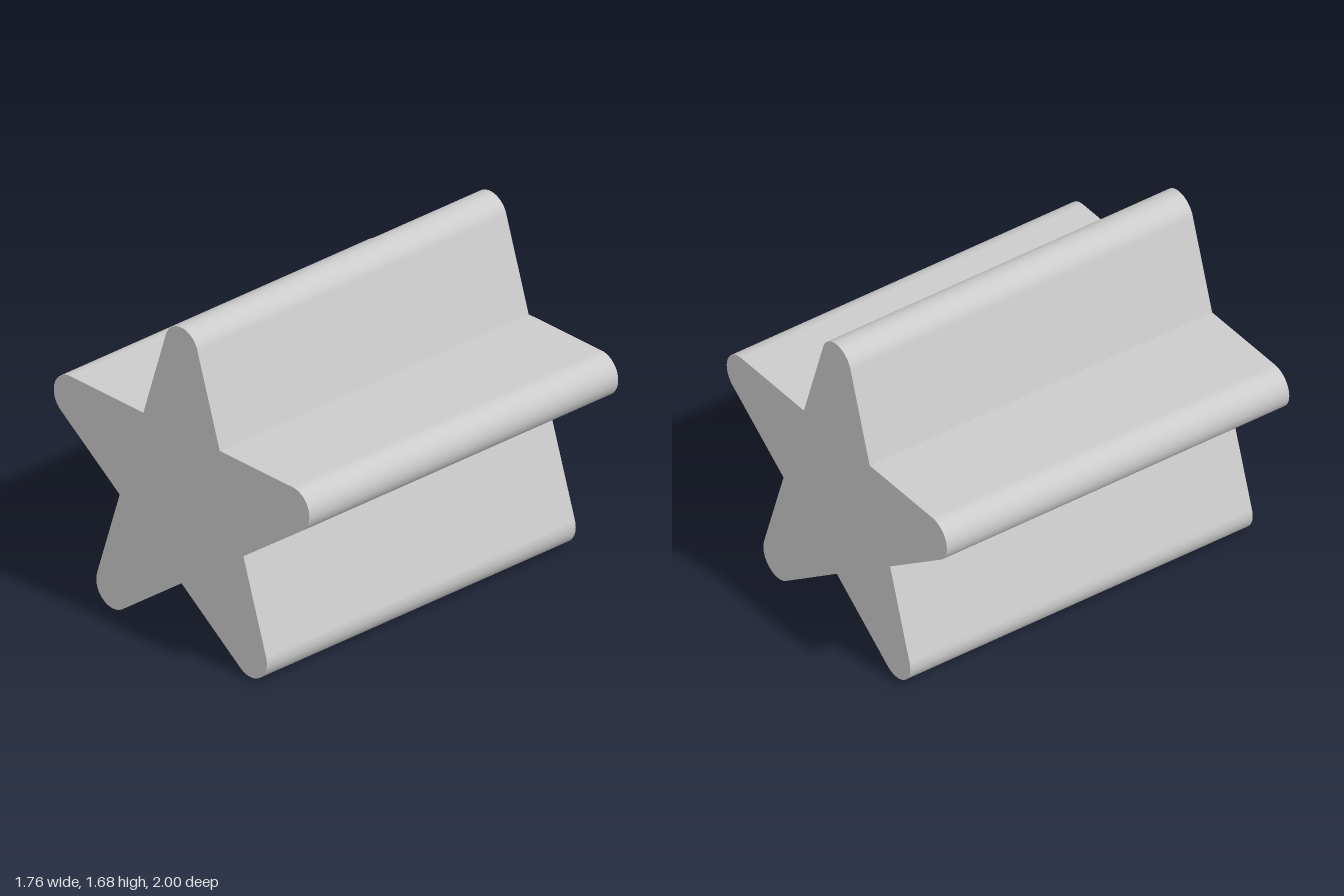
import * as THREE from 'three';

const CENTRE_Y = 0.763;   // height of the star's middle
const INNER = 0.447;      // radius of the inner corners
const TIP = 0.804;        // distance of the tip arc centres
const ROUND = 0.114;      // radius of the tip arcs
const LENGTH = 2;

// Five-pointed star with round tips, drawn counter-clockwise from the top
function starShape() {
  const shape = new THREE.Shape();
  const sweep = THREE.MathUtils.degToRad(72);
  for (let i = 0; i < 5; i++) {
    const a = Math.PI / 2 + i * 2 * Math.PI / 5;
    // arc runs between the two tangent arm edges
    shape.absarc(TIP * Math.cos(a), CENTRE_Y + TIP * Math.sin(a), ROUND, a - sweep, a + sweep, false);
    const b = a + Math.PI / 5;
    shape.lineTo(INNER * Math.cos(b), CENTRE_Y + INNER * Math.sin(b));
  }
  shape.closePath();
  return shape;
}

export function createModel() {
  const group = new THREE.Group();
  group.name = 'starPrism';

  // Star bar running front to back
  const geometry = new THREE.ExtrudeGeometry(starShape(), {
    depth: LENGTH, bevelEnabled: false, curveSegments: 12,
  });
  geometry.translate(0, 0, -LENGTH / 2);
  const bar = new THREE.Mesh(geometry, new THREE.MeshStandardMaterial({ color: 0xcccccc, flatShading: true }));
  bar.name = 'starBar';
  group.add(bar);
  return group;
}
